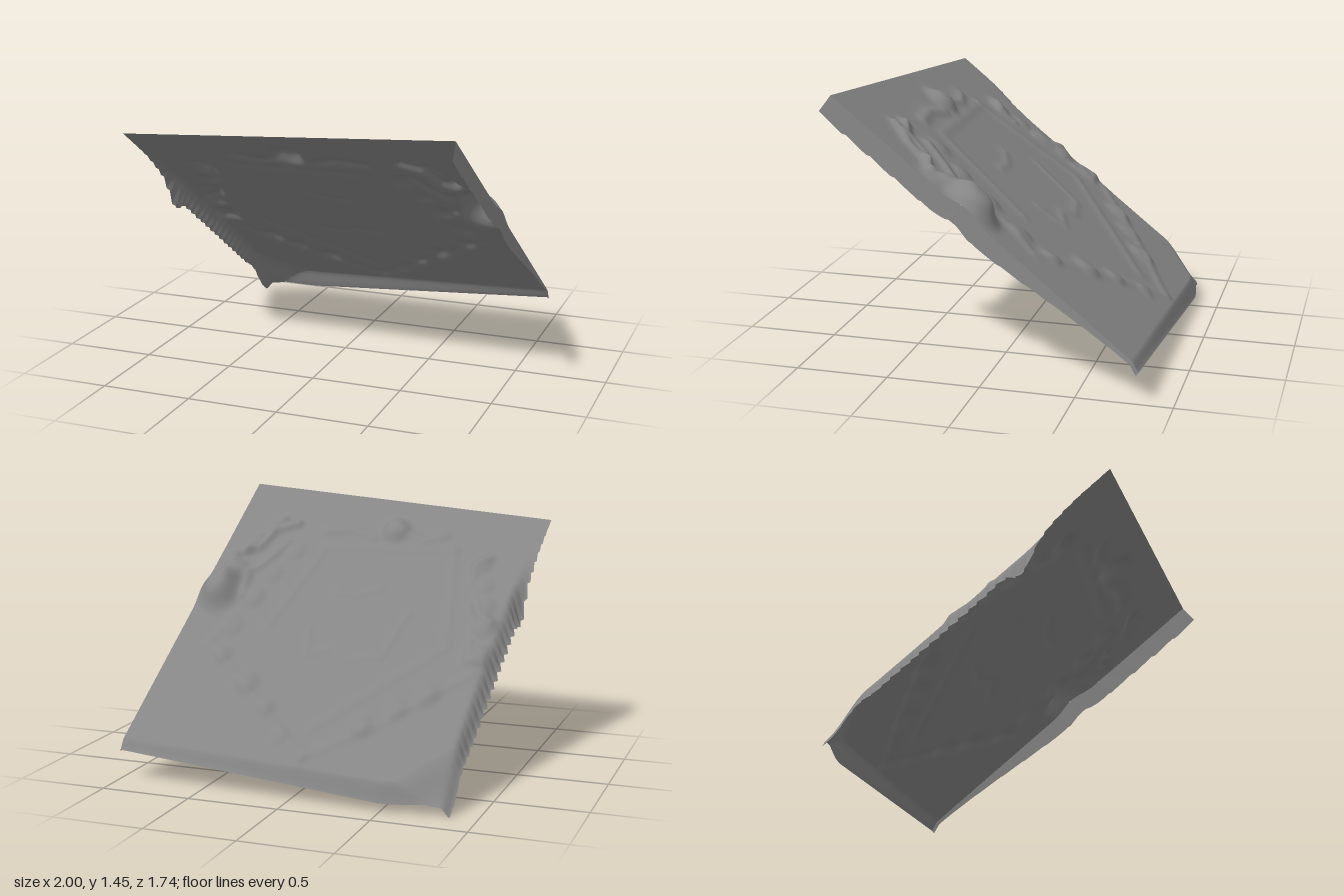
import * as THREE from 'three';

const lerp = THREE.MathUtils.lerp;
const smooth = THREE.MathUtils.smoothstep;
const material = new THREE.MeshStandardMaterial({ color: 0x868686, side: THREE.DoubleSide });

// Tilted base plane and its upward normal
const planeY = (x, z) => 0.82 + 0.02 * x + 0.77 * z;
const normal = new THREE.Vector3(-0.02, 1, -0.77).normalize();

// Rounded bumps: x, z, radius, height
const bumps = [
  [0.81, 0.09, 0.085, 0.105], [0.77, 0.21, 0.065, 0.045], [0.83, 0.28, 0.05, 0.02], // large corner boss
  [-0.11, 0.55, 0.06, 0.05], // boss on the long side
  [-0.68, 0.38, 0.045, 0.02], [-0.73, 0.25, 0.04, 0.015], [-0.76, 0.13, 0.05, 0.02],
  [-0.79, 0.02, 0.05, 0.025], [-0.8, -0.14, 0.05, 0.02],
  [-0.6, -0.38, 0.05, 0.02], [-0.46, -0.47, 0.045, 0.015], [-0.3, -0.58, 0.05, 0.02],
  [0.12, -0.68, 0.035, 0.01], [0.26, -0.54, 0.04, 0.015], [0.42, -0.42, 0.05, 0.02],
  [0.63, -0.28, 0.04, 0.015], [0.64, -0.12, 0.045, 0.015], [0.59, 0.07, 0.05, 0.02],
  [0.53, 0.23, 0.04, 0.015], [0.45, 0.38, 0.045, 0.015]
];

// Raised lines: height, width, then x, z points
const ridges = [
  [0.008, 0.03, [-0.04, -0.77], [0.74, -0.22], [0.66, -0.05]], // outer pentagon
  [0.008, 0.03, [-0.04, -0.77], [-0.38, -0.57], [-0.8, -0.25]],
  [0.006, 0.03, [-0.5, 0.45], [0.27, 0.42], [0.43, -0.08]], // inner pentagon
  [0.006, 0.03, [-0.5, 0.45], [-0.62, -0.12], [-0.04, -0.62]],
  [0.014, 0.03, [-0.42, 0.54], [-0.3, 0.5], [-0.18, 0.54]], // scrolls of the border
  [0.014, 0.03, [0.0, 0.5], [0.14, 0.54], [0.3, 0.52]],
  [0.012, 0.025, [-0.72, 0.42], [-0.64, 0.36], [-0.66, 0.28]],
  [0.012, 0.025, [-0.83, 0.04], [-0.74, 0.08], [-0.7, 0.16]],
  [0.012, 0.025, [-0.84, -0.18], [-0.75, -0.18], [-0.74, -0.08]],
  [0.006, 0.025, [-0.15, 0.19], [-0.02, 0.14], [0.1, 0.14]], // faint central figure
  [0.006, 0.025, [-0.35, 0.05], [-0.28, -0.2], [-0.1, -0.23], [0.0, -0.18], [0.14, -0.23], [0.18, -0.1]],
  [0.025, 0.026, [0.5, 0.55], [0.62, 0.5], [0.68, 0.38], [0.8, 0.32]], // leaf work beside the boss
  [0.022, 0.026, [0.6, 0.57], [0.7, 0.46], [0.74, 0.36]],
  [0.016, 0.026, [0.52, 0.42], [0.6, 0.3], [0.68, 0.22], [0.66, 0.08]]
];

function segmentDistance(x, z, [ax, az], [bx, bz]) {
  const dx = bx - ax, dz = bz - az;
  const t = THREE.MathUtils.clamp(((x - ax) * dx + (z - az) * dz) / (dx * dx + dz * dz), 0, 1);
  return Math.hypot(x - ax - t * dx, z - az - t * dz);
}

function reliefHeight(x, z) {
  let h = 0;
  for (const [bx, bz, r, height] of bumps) {
    const d = Math.hypot(x - bx, z - bz) / r;
    h += height * Math.exp(-(d ** 3) * 0.6);
  }
  for (const [height, width, ...points] of ridges) {
    let d = Infinity;
    for (let i = 1; i < points.length; i++) d = Math.min(d, segmentDistance(x, z, points[i - 1], points[i]));
    h += height * Math.exp(-((d / width) ** 2));
  }
  return h;
}

// Point on the slab: u runs left edge to right edge, v front to back
function slabPoint(u, v) {
  const tooth = 0.025 * ((v * 30) % 1) * (1 - smooth(u, 0, 0.03)); // ragged left edge
  const left = lerp(-1, -0.86, v) + (0.02 - tooth) * Math.sin(v * Math.PI);
  const x = lerp(left, lerp(0.87, 0.99, v), u);
  const back = u < 0.2 ? lerp(-0.83, -0.87, smooth(u, 0, 0.2)) : lerp(-0.87, -0.82, (u - 0.2) / 0.8);
  const z = lerp(lerp(0.69, 0.81, u), back, v);
  const p = new THREE.Vector3(x, planeY(x, z), z).addScaledVector(normal, reliefHeight(x, z));

  // Back edge turns down and the back left corner droops
  const roll = lerp(0.09, 0.03, u) * smooth(v, 0.978, 1);
  const corner = 0.1 * smooth(1 - u / 0.2 - (1 - v) / 0.16, 0, 0.85);
  p.y -= Math.max(roll, corner);

  // Left edge curls under, with one deeper tab
  const curl = 0.1 * smooth(v, 0.1, 0.45) - 0.05 * smooth(v, 0.82, 0.92);
  const tab = 0.09 * Math.exp(-(((z - 0.22) / 0.07) ** 2));
  p.y -= Math.exp(-((u / 0.016) ** 2)) * (curl + tab);
  return p;
}

// Sheet of points given by a rule of two parameters
function sheet(name, columns, rows, rule) {
  const geometry = new THREE.PlaneGeometry(1, 1, columns, rows);
  const position = geometry.attributes.position;
  for (let i = 0; i < position.count; i++) {
    const p = rule(position.getX(i) + 0.5, position.getY(i) + 0.5);
    position.setXYZ(i, p.x, p.y, p.z);
  }
  geometry.computeVertexNormals();
  const mesh = new THREE.Mesh(geometry, material);
  mesh.name = name;
  return mesh;
}

export function createModel() {
  const group = new THREE.Group();
  group.name = 'reliefSlab';
  group.add(sheet('carvedFace', 220, 200, slabPoint));

  // Narrow side wall below the right edge, thinning towards the back
  group.add(sheet('rightSideWall', 100, 3, (along, up) => {
    const p = slabPoint(1, along);
    const step = 0.012 * ((along * 12) % 1);
    const depth = lerp(0.105, 0.02, smooth(along, 0.4, 1)) + step * (1 - along);
    p.addScaledVector(normal, -depth * (1 - up));
    p.x += 0.005 * (1 - up);
    return p;
  }));
  return group;
}
